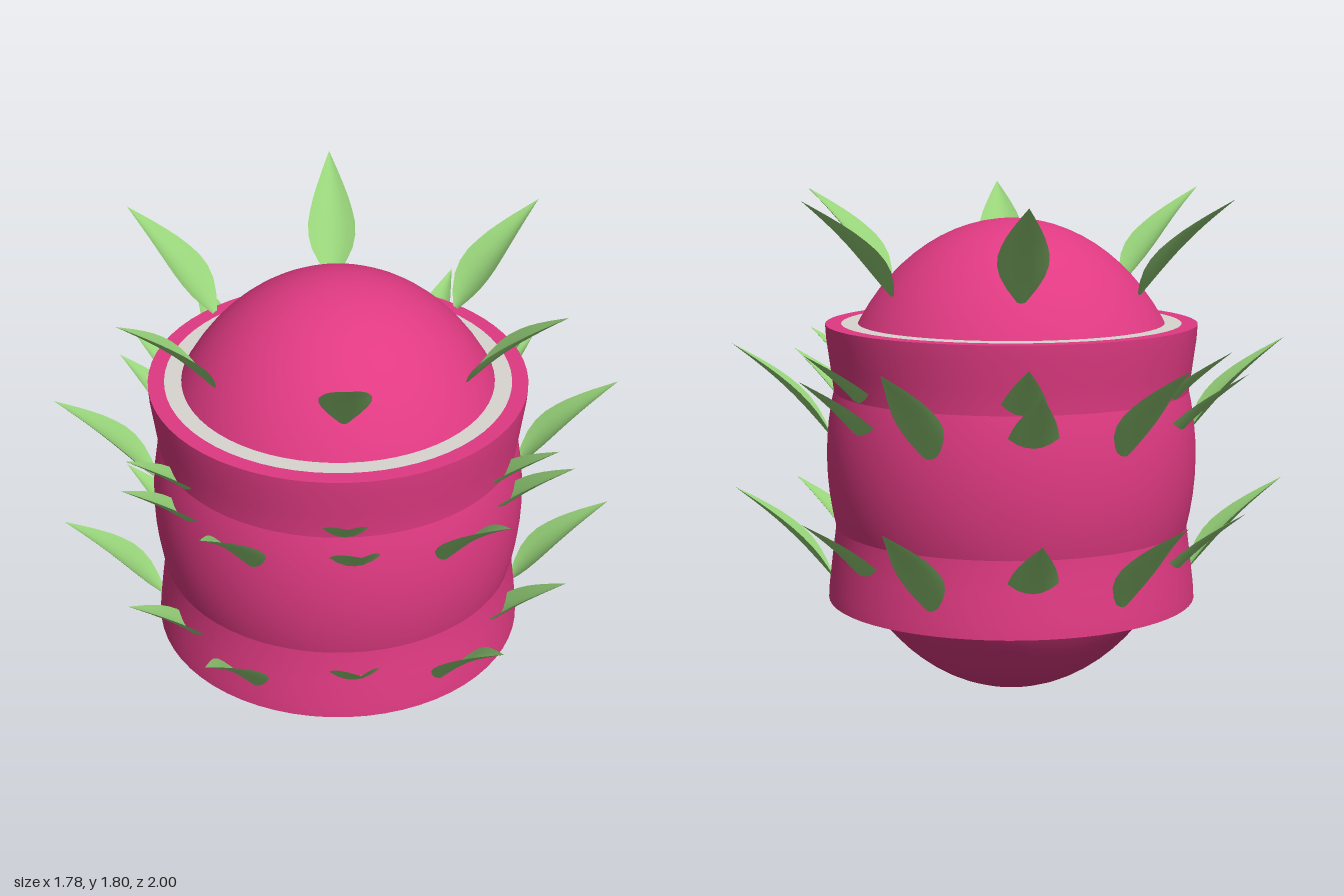
import * as THREE from 'three';

const rindPink = new THREE.MeshStandardMaterial({ color: 0xe03a82 });
const pithWhite = new THREE.MeshStandardMaterial({ color: 0xd9d6d0 });
const leafGreen = new THREE.MeshStandardMaterial({ color: 0x98d47a, side: THREE.DoubleSide });

// Cupped leaf rising outward from its base at the origin towards +x and +y
function makeLeafGeometry() {
  const halfWidths = [0.015, 0.05, 0.075, 0.086, 0.086, 0.077, 0.065, 0.05, 0.034, 0.017, 0];
  const rows = halfWidths.length - 1;
  const geometry = new THREE.PlaneGeometry(2, 1, 6, rows);
  const p = geometry.attributes.position;
  for (let i = 0; i < p.count; i++) {
    const s = p.getX(i);
    const t = p.getY(i) + 0.5;
    const w = halfWidths[Math.round(t * rows)];
    // Arch along the length plus edges curled up and inward
    const lift = 0.018 * Math.sin(Math.PI * t) + 0.35 * w * s * s;
    p.setXYZ(i, 0.345 * t - 0.7 * lift, 0.34 * t + 0.7 * lift, w * s);
  }
  geometry.computeVertexNormals();
  return geometry;
}

export function createModel() {
  const model = new THREE.Group();
  const add = (geometry, material, name, y = 0) => {
    const mesh = new THREE.Mesh(geometry, material);
    mesh.name = name;
    mesh.position.y = y;
    model.add(mesh);
    return mesh;
  };

  // Egg-shaped fruit core
  const core = add(new THREE.SphereGeometry(1, 64, 40), rindPink, 'core', 0.857);
  core.scale.set(0.667, 0.855, 0.667);

  // Waisted outer rind, with the core bulging through its middle
  const profile = [
    [0.667, 0.34], [0.664, 0.39], [0.652, 0.49], [0.638, 0.6], [0.625, 0.84],
    [0.639, 1.1], [0.652, 1.2], [0.664, 1.29], [0.667, 1.34],
  ].map(([r, y]) => new THREE.Vector2(r, y));
  add(new THREE.LatheGeometry(profile, 64), rindPink, 'rind');

  // Flat rims: pink outside, white pith inside
  for (const [y, tilt, side] of [[1.34, -1, 'top'], [0.34, 1, 'bottom']]) {
    const rim = (inner, outer) =>
      new THREE.RingGeometry(inner, outer, 64).rotateX(tilt * Math.PI / 2);
    add(rim(0.61, 0.667), rindPink, side + 'RindRim', y);
    add(rim(0.5, 0.61), pithWhite, side + 'PithRim', y);
  }

  // Rings of six leaves: base radius, base height, turn in degrees
  const leafGeometry = makeLeafGeometry();
  const rings = [
    ['lowerOuterLeaf', 0.653, 0.415, 31.2],
    ['lowerInnerLeaf', 0.545, 0.37, 0],
    ['upperOuterLeaf', 0.653, 0.935, 31.2],
    ['upperInnerLeaf', 0.545, 0.86, 0],
    ['shoulderLeaf', 0.5, 0.94, 2.7],
    ['crownLeaf', 0.5, 1.46, 2.7],
  ];
  for (const [name, radius, height, turn] of rings) {
    for (let i = 0; i < 6; i++) {
      const angle = THREE.MathUtils.degToRad(turn + i * 60);
      const leaf = add(leafGeometry, leafGreen, name, height);
      leaf.position.x = radius * Math.cos(angle);
      leaf.position.z = radius * Math.sin(angle);
      leaf.rotation.y = -angle;
    }
  }
  return model;
}
